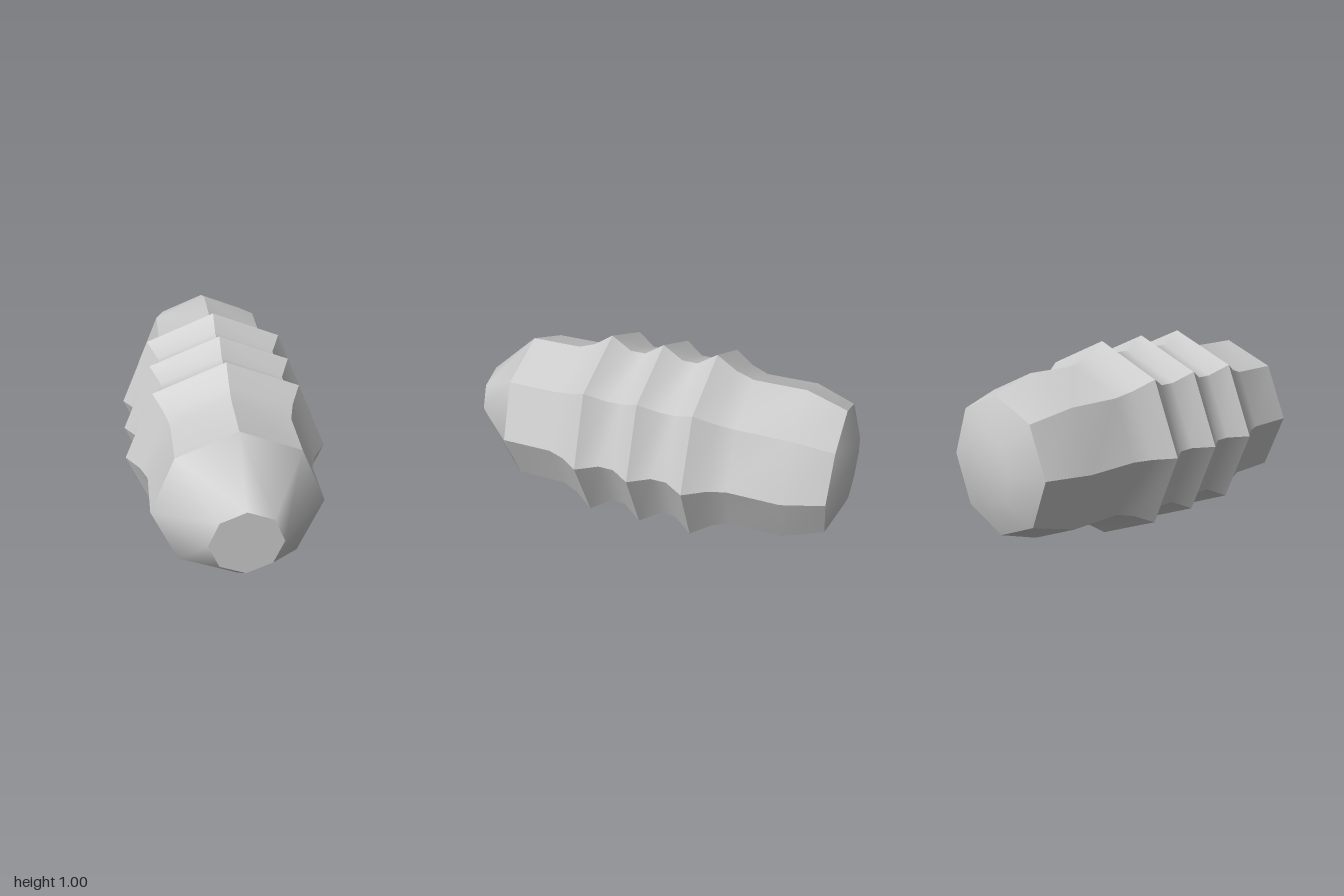
import * as THREE from 'three';
import { toCreasedNormals } from 'three/addons/utils/BufferGeometryUtils.js';

const SIDES = 8;

// Outline as [z, radius], from the rounded back end to the blunt nose
const PROFILE = [
  [-1, 0], [-1, 0.167], [-0.935, 0.33], [-0.735, 0.4], // domed back and taper
  [-0.47, 0.4], [-0.38, 0.433], [-0.28, 0.5],          // back shoulder and rib
  [-0.18, 0.433], [-0.1, 0.433], [0, 0.5],             // groove and middle rib
  [0.1, 0.433], [0.18, 0.433], [0.28, 0.5],            // groove and front rib
  [0.38, 0.433], [0.47, 0.4], [0.735, 0.4],            // front shoulder
  [1, 0.167], [1, 0],                                  // conical nose with flat tip
];

export function createModel() {
  const model = new THREE.Group();
  model.name = 'ribbedCapsule';

  // Eight-sided turned body, laid along z
  const points = PROFILE.map(([z, r]) => new THREE.Vector2(r, z));
  const lathe = new THREE.LatheGeometry(points, SIDES);
  lathe.rotateX(Math.PI / 2);

  // Nose, dome and grooves shade smoothly; sides and rib crests stay sharp
  const geometry = toCreasedNormals(lathe, THREE.MathUtils.degToRad(36));

  const body = new THREE.Mesh(geometry, new THREE.MeshStandardMaterial({ color: 0xcccccc }));
  body.name = 'ribbedBody';
  body.position.y = 0.5;
  model.add(body);
  return model;
}
